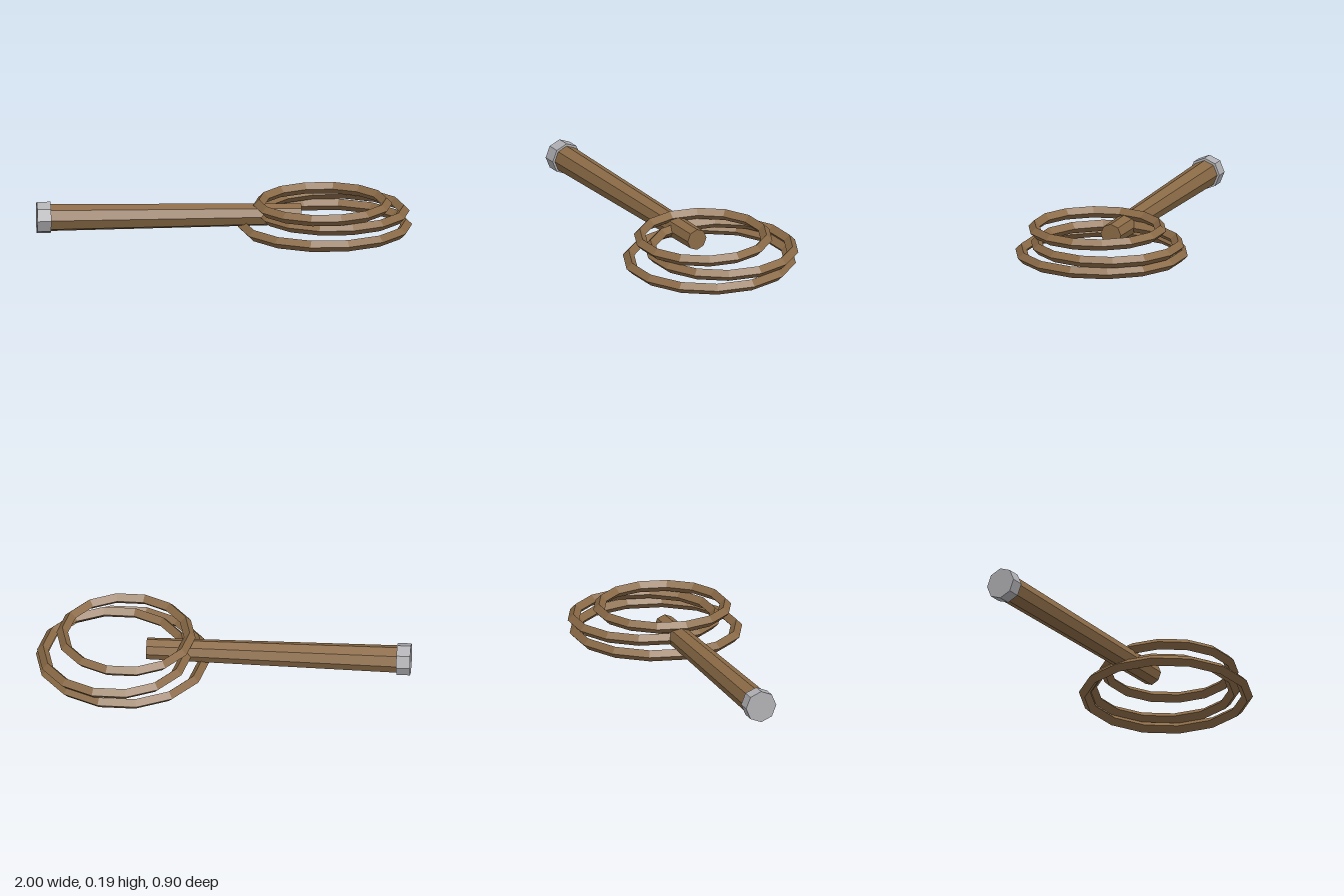
import * as THREE from 'three';

export function createModel() {
  const group = new THREE.Group();
  const leather = new THREE.MeshStandardMaterial({ color: 0x8b6b47, flatShading: true });
  leather.name = 'brown leather';
  const metal = new THREE.MeshStandardMaterial({ color: 0xb0b0b4, flatShading: true });
  metal.name = 'grey metal';

  const add = (name, geometry, material, x, y, z) => {
    const mesh = new THREE.Mesh(geometry, material);
    mesh.name = name;
    mesh.position.set(x, y, z);
    group.add(mesh);
  };

  // Eight-sided rod along x, given its radius at each end
  const rod = (name, material, x0, x1, r0, r1, y) => {
    const geometry = new THREE.CylinderGeometry(r1, r0, x1 - x0, 8).rotateZ(-Math.PI / 2);
    add(name, geometry, material, (x0 + x1) / 2, y, 0);
  };
  rod('handle', leather, -0.95, 0.405, 0.074, 0.058, 0.096);
  rod('pommel', metal, -1, -0.927, 0.086, 0.086, 0.097);

  // Stacked coils: ring radius, then centre x, y, z
  const coils = [
    [0.432, 0.532, 0.031, 0.001],
    [0.38, 0.574, 0.093, -0.049],
    [0.339, 0.518, 0.156, 0.031],
  ];
  coils.forEach(([radius, x, y, z], i) => {
    const geometry = new THREE.TorusGeometry(radius, 0.031, 4, 14).rotateX(-Math.PI / 2);
    add(`coil${i + 1}`, geometry, leather, x, y, z);
  });

  return group;
}
